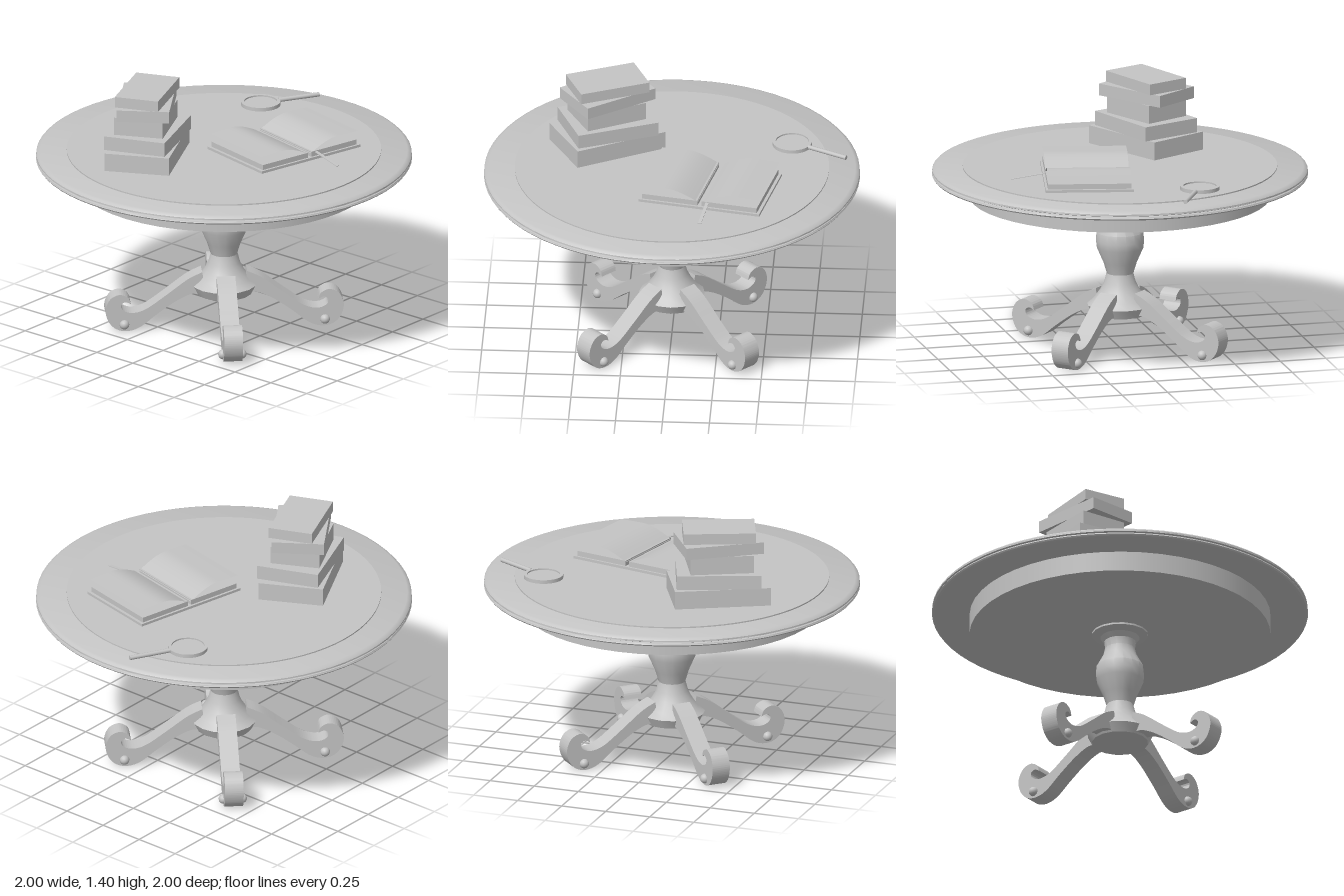
import * as THREE from 'three';
import { toCreasedNormals } from 'three/addons/utils/BufferGeometryUtils.js';

const grey = new THREE.MeshStandardMaterial({ color: 0xc4c4c4 });
grey.name = 'plain grey';
grey.side = THREE.DoubleSide;

function add(parent, name, geometry, x = 0, y = 0, z = 0) {
  const mesh = new THREE.Mesh(geometry, grey);
  mesh.name = name;
  mesh.position.set(x, y, z);
  parent.add(mesh);
  return mesh;
}

function group(parent, name, x = 0, y = 0, z = 0, degrees = 0) {
  const g = new THREE.Group();
  g.name = name;
  g.position.set(x, y, z);
  g.rotation.y = THREE.MathUtils.degToRad(degrees);
  parent.add(g);
  return g;
}

const vectors = (points) => points.map(([x, y]) => new THREE.Vector2(x, y));
const lathe = (points, sides, crease = 0.6) =>
  toCreasedNormals(new THREE.LatheGeometry(vectors(points), sides), crease);
const box = (w, h, d) => new THREE.BoxGeometry(w, h, d);

// Scrolled leg: side outline from pedestal to curled foot, in (radius, height)
function legGeometry(width) {
  const s = new THREE.Shape();
  s.moveTo(0.1, 0.2);
  s.lineTo(0.12, 0.33);
  s.splineThru(vectors([[0.2, 0.29], [0.32, 0.2], [0.42, 0.13], [0.49, 0.11],
    [0.54, 0.125], [0.553, 0.155], [0.53, 0.172], [0.5, 0.16]]));
  s.splineThru(vectors([[0.515, 0.195], [0.56, 0.214], [0.61, 0.19], [0.635, 0.13],
    [0.62, 0.065], [0.58, 0.022], [0.52, 0.008], [0.45, 0.03],
    [0.36, 0.1], [0.26, 0.17], [0.17, 0.21], [0.1, 0.2]]));
  const g = new THREE.ExtrudeGeometry(s, { depth: width, bevelEnabled: false, curveSegments: 28 });
  g.translate(0, 0, -width / 2);
  return toCreasedNormals(g, 0.6);
}

// Arched page: rises from the spine, then levels off towards the outer edge
function pageGeometry(side) {
  const g = new THREE.PlaneGeometry(0.315, 0.445, 14, 1);
  g.rotateX(-Math.PI / 2);
  const p = g.attributes.position;
  for (let i = 0; i < p.count; i++) {
    const t = p.getX(i) / 0.315 + 0.5;
    const u = side > 0 ? t : 1 - t;
    p.setX(i, side * (0.008 + u * 0.315));
    p.setY(i, 1.045 + 0.06 * Math.sin(Math.min(u * 1.7, 1) * Math.PI / 2) - 0.006 * u * u);
  }
  g.computeVertexNormals();
  return g;
}

export function createModel() {
  const model = new THREE.Group();
  model.name = 'round table with books';

  // Table top with moulded rim, and the slightly raised centre
  add(model, 'tableTop', lathe([[0, 0.95], [0.975, 0.95], [0.995, 0.956], [1, 0.963],
    [0.995, 0.971], [0.985, 0.974], [0.998, 0.979], [0.998, 0.988], [0.99, 0.997],
    [0.975, 1.003], [0, 1.003]], 72));
  add(model, 'topInlay', new THREE.CylinderGeometry(0.836, 0.836, 0.008, 72), 0, 1.006, 0);
  add(model, 'apron', new THREE.CylinderGeometry(0.8, 0.8, 0.115, 48), 0, 0.8975, 0);

  // Turned pedestal
  add(model, 'pedestal', lathe([[0, 0.2], [0.15, 0.2], [0.175, 0.25], [0.14, 0.28],
    [0.105, 0.33], [0.085, 0.37], [0.072, 0.42], [0.09, 0.48], [0.125, 0.56],
    [0.13, 0.6], [0.125, 0.645], [0.09, 0.71], [0.08, 0.75], [0.085, 0.79],
    [0.105, 0.815], [0.15, 0.83], [0.15, 0.842], [0, 0.842]], 16, 0.5));

  // Four diagonal legs with round studs on the feet
  const leg = legGeometry(0.1);
  const stud = new THREE.SphereGeometry(0.026, 14, 10);
  for (let i = 0; i < 4; i++) {
    const g = group(model, 'leg' + (i + 1), 0, 0, 0, 45 + i * 90);
    add(g, 'scrollLeg', leg);
    for (const side of [-1, 1]) add(g, 'footStud', stud, 0.535, 0.045, side * 0.05);
  }

  // Stack of closed books: length, depth, bottom, top, angle, x, z
  const books = group(model, 'bookStack');
  const stack = [
    [0.515, 0.35, 1.01, 1.108, 28, -0.355, -0.235],
    [0.45, 0.34, 1.108, 1.185, 22, -0.352, -0.235],
    [0.337, 0.265, 1.185, 1.282, 27, -0.36, -0.24],
    [0.424, 0.28, 1.282, 1.346, 35, -0.355, -0.238],
    [0.385, 0.24, 1.346, 1.405, 23, -0.355, -0.235],
  ];
  for (const [w, d, low, high, angle, x, z] of stack) {
    const mesh = add(books, 'closedBook', box(w, high - low, d), x, (low + high) / 2, z);
    mesh.rotation.y = THREE.MathUtils.degToRad(angle);
  }

  // Open book with cover, page blocks, arched pages and ribbon
  const open = group(model, 'openBook', 0.215, 0, 0.237, -12);
  add(open, 'cover', box(0.664, 0.014, 0.47), 0, 1.017, 0);
  for (const side of [-1, 1]) {
    add(open, 'pageBlock', box(0.305, 0.028, 0.445), side * 0.163, 1.038, 0);
    add(open, 'archedPage', pageGeometry(side));
  }
  const ribbon = add(open, 'ribbon', box(0.018, 0.003, 0.2), 0.045, 1.033, 0.305);
  ribbon.rotation.x = 0.16;
  ribbon.rotation.y = 0.03;

  // Magnifying glass
  const glass = group(model, 'magnifyingGlass', 0.626, 1.022, -0.275, -28);
  add(glass, 'frame', lathe([[0.088, -0.01], [0.105, -0.01], [0.105, 0.01],
    [0.088, 0.01], [0.088, -0.01]], 36));
  add(glass, 'lens', new THREE.CylinderGeometry(0.089, 0.089, 0.004, 36));
  const handle = add(glass, 'handle', new THREE.CylinderGeometry(0.012, 0.012, 0.232, 12), 0.218, 0.002, 0);
  handle.rotation.z = Math.PI / 2;

  return model;
}
